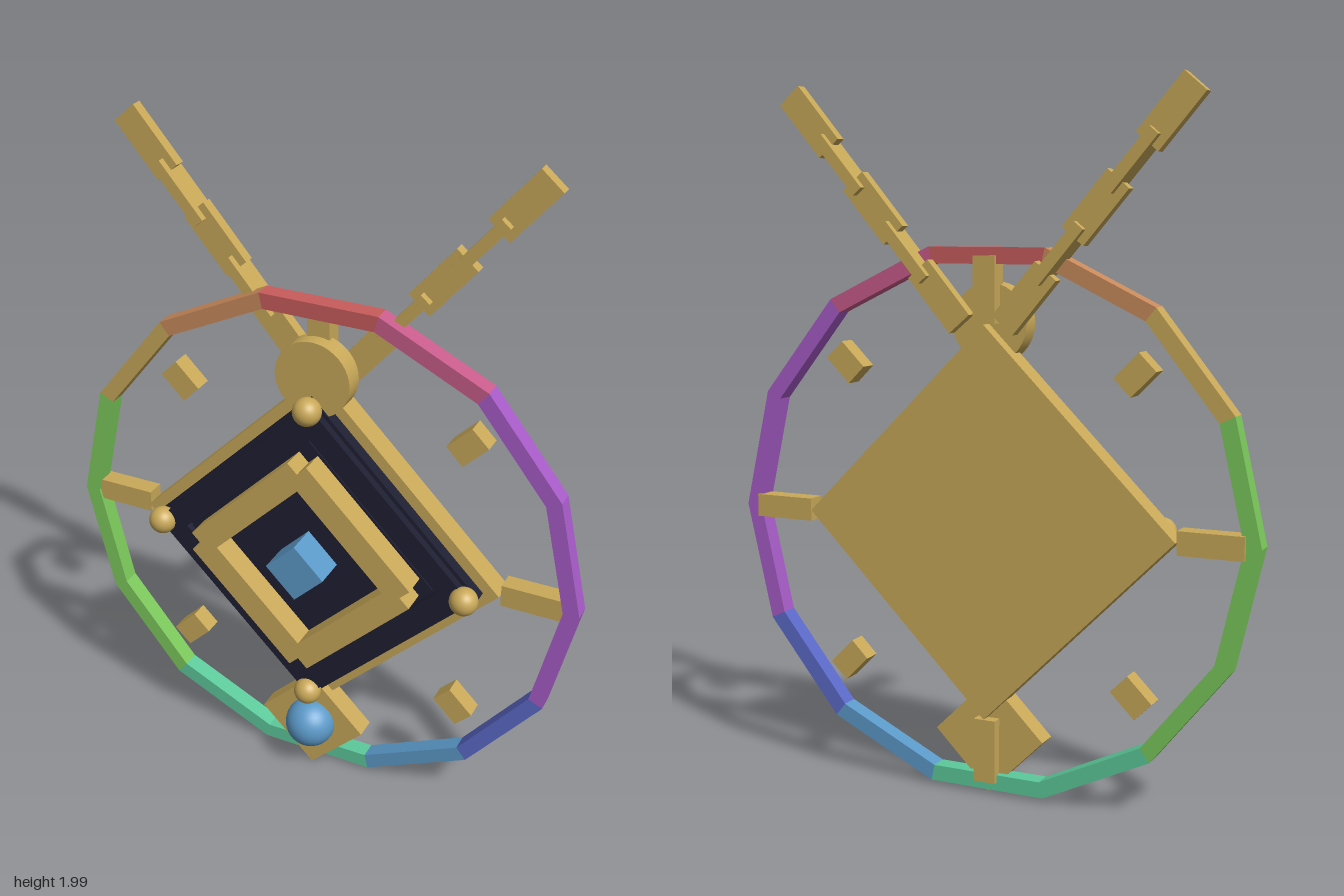
import * as THREE from 'three';

const material = (name, color) => {
  const m = new THREE.MeshStandardMaterial({ color });
  m.name = name;
  return m;
};

export function createModel() {
  const gold = material('gold', 0xc9a959);
  const dark = material('midnight', 0x1e1e32);
  const blue = material('blue', 0x5c9ac9);
  const red = material('red', 0xc95c5c);
  const pink = material('pink', 0xc95c8a);
  const purple = material('purple', 0xa85cc9);
  const orange = material('orange', 0xc98a5c);
  const green = material('green', 0x7cc95c);
  const teal = material('teal', 0x5cc99a);
  const indigo = material('indigo', 0x5c6ac9);

  const root = new THREE.Group();
  root.name = 'pendant';
  // Everything is laid out around the middle of the ring
  const body = new THREE.Group();
  body.name = 'pendantBody';
  body.position.y = 0.79;
  root.add(body);

  const add = (name, geometry, mat, parent = body) => {
    const mesh = new THREE.Mesh(geometry, mat);
    mesh.name = name;
    parent.add(mesh);
    return mesh;
  };
  // Box given by its centre, size and z range
  const slab = (name, x, y, w, h, z0, z1, mat, parent = body) => {
    const mesh = add(name, new THREE.BoxGeometry(w, h, z1 - z0), mat, parent);
    mesh.position.set(x, y, (z0 + z1) / 2);
    return mesh;
  };
  const ball = (name, x, y, z, r, mat) =>
    add(name, new THREE.SphereGeometry(r, 32, 20), mat).position.set(x, y, z);

  // Fourteen-sided ring, one coloured bar per side
  const ringColours = [purple, purple, pink, red, orange, gold, green,
    green, green, teal, teal, blue, indigo, purple];
  const step = (Math.PI * 2) / ringColours.length;
  ringColours.forEach((mat, i) => {
    const at = (r, a) => new THREE.Vector2(r * Math.cos(a), r * Math.sin(a));
    const a = i * step, b = a + step;
    const shape = new THREE.Shape([at(0.788, a), at(0.788, b), at(0.741, b), at(0.741, a)]);
    const geo = new THREE.ExtrudeGeometry(shape, { depth: 0.052, bevelEnabled: false });
    add('ringBar', geo, mat).position.z = -0.075;
  });

  // Stacked square panels, turned to stand on a corner
  const panel = new THREE.Group();
  panel.name = 'panel';
  panel.rotation.z = Math.PI / 4;
  body.add(panel);
  slab('backPlate', 0, 0, 0.79, 0.79, -0.09, -0.02, gold, panel);
  slab('darkPlate', 0, 0, 0.724, 0.724, -0.02, 0.015, dark, panel);
  slab('innerPanel', 0, 0, 0.54, 0.54, 0.015, 0.03, dark, panel);
  slab('centreGem', 0, 0, 0.126, 0.126, 0.03, 0.125, blue, panel);

  // Four bars round a square: outer distance, half length, bar width
  const frame = (name, outer, half, width, z0, z1, mat) => {
    for (let i = 0; i < 4; i++) {
      const side = new THREE.Group();
      side.name = name + 'Side';
      side.rotation.z = (i * Math.PI) / 2;
      panel.add(side);
      // Alternate bars stop at their neighbours so faces never overlap
      const len = i % 2 ? 2 * (outer - width) : 2 * half;
      slab(name, 0, outer - width / 2, len, width, z0, z1, mat, side);
      if (i % 2) {
        const end = half - (outer - width);
        for (const s of [-1, 1]) {
          slab(name + 'Tip', s * (outer - width + end / 2), outer - (outer - half) / 2,
            end, outer - half, z0, z1, mat, side);
        }
      }
    }
  };
  frame('darkFrame', 0.35, 0.325, 0.07, 0.015, 0.038, dark);
  frame('goldFrame', 0.262, 0.222, 0.078, 0.03, 0.103, gold);

  // Studs on the four corners
  for (const [x, y] of [[0.478, 0], [-0.478, 0], [0, 0.478], [0, -0.478]]) {
    ball('cornerStud', x, y, 0.04, 0.041, gold);
  }

  // Spokes to the ring, with short floating blocks on the diagonals
  for (let i = 0; i < 8; i++) {
    const arm = new THREE.Group();
    arm.name = 'spokeArm';
    arm.rotation.z = (i * Math.PI) / 4;
    body.add(arm);
    if (i % 2) slab('diagonalBlock', 0.62, 0, 0.1, 0.07, -0.086, -0.03, gold, arm);
    else slab('spoke', 0.653, 0, 0.184, 0.066, -0.086, -0.03, gold, arm);
  }

  // Round cap at the top
  const cap = add('topDisc', new THREE.CylinderGeometry(0.112, 0.112, 0.06, 40), gold);
  cap.rotation.x = Math.PI / 2;
  cap.position.set(0, 0.56, -0.02);

  // Diamond mount with a round stone at the bottom
  const mount = slab('bottomMount', 0, -0.615, 0.235, 0.235, -0.055, 0.01, gold);
  mount.rotation.z = Math.PI / 4;
  ball('bottomStone', 0, -0.615, 0.018, 0.077, blue);

  // Two chains of links that alternate between flat and edge-on
  for (const side of [-1, 1]) {
    const chain = new THREE.Group();
    chain.name = side > 0 ? 'leftChain' : 'rightChain';
    body.add(chain);
    for (let i = 0; i < 5; i++) {
      const flat = i % 2 === 0;
      const link = add('chainLink',
        new THREE.BoxGeometry(0.195, flat ? 0.08 : 0.033, flat ? 0.033 : 0.075), gold, chain);
      link.position.set(side * (0.128 + i * 0.1015), 0.633 + i * 0.12, -0.09);
      link.rotation.z = side * 0.865;
    }
  }
  return root;
}
